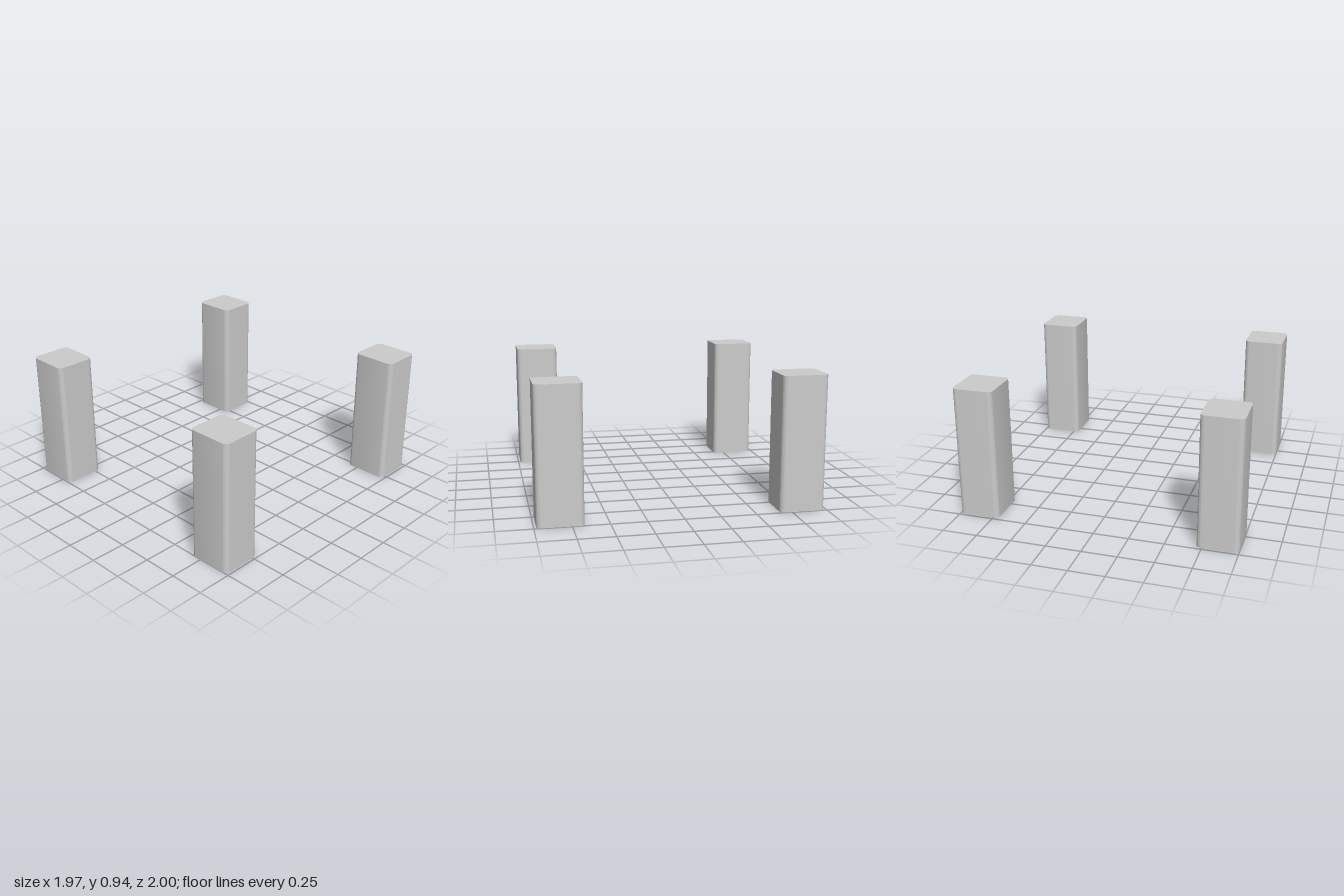
import * as THREE from 'three';
import { toCreasedNormals } from 'three/addons/utils/BufferGeometryUtils.js';

const WIDTH = 0.315, DEPTH = 0.29, HEIGHT = 0.94, RADIUS = 0.035;
const X = 0.825, Z = 0.855; // leg centres

// Rectangle with rounded corners, centred on the origin
function roundedRect(w, d, r) {
  const x = w / 2 - r, y = d / 2 - r, q = Math.PI / 2;
  const shape = new THREE.Shape();
  shape.absarc(x, y, r, 0, q);
  shape.absarc(-x, y, r, q, 2 * q);
  shape.absarc(-x, -y, r, 2 * q, 3 * q);
  shape.absarc(x, -y, r, 3 * q, 4 * q);
  shape.closePath();
  return shape;
}

export function createModel() {
  const group = new THREE.Group();
  group.name = 'legSet';
  const material = new THREE.MeshStandardMaterial({ color: 0xcccccc });

  // Upright post: rounded vertical edges, sharp flat ends
  const extruded = new THREE.ExtrudeGeometry(roundedRect(WIDTH, DEPTH, RADIUS), {
    depth: HEIGHT, bevelEnabled: false, curveSegments: 8,
  });
  extruded.rotateX(-Math.PI / 2);
  const geometry = toCreasedNormals(extruded, 0.6);

  // One leg at each corner
  for (const [end, sz] of [['front', 1], ['back', -1]]) {
    for (const [side, sx] of [['Left', 1], ['Right', -1]]) {
      const leg = new THREE.Mesh(geometry, material);
      leg.name = `${end}${side}Leg`;
      leg.position.set(sx * X, 0, sz * Z);
      group.add(leg);
    }
  }
  return group;
}
